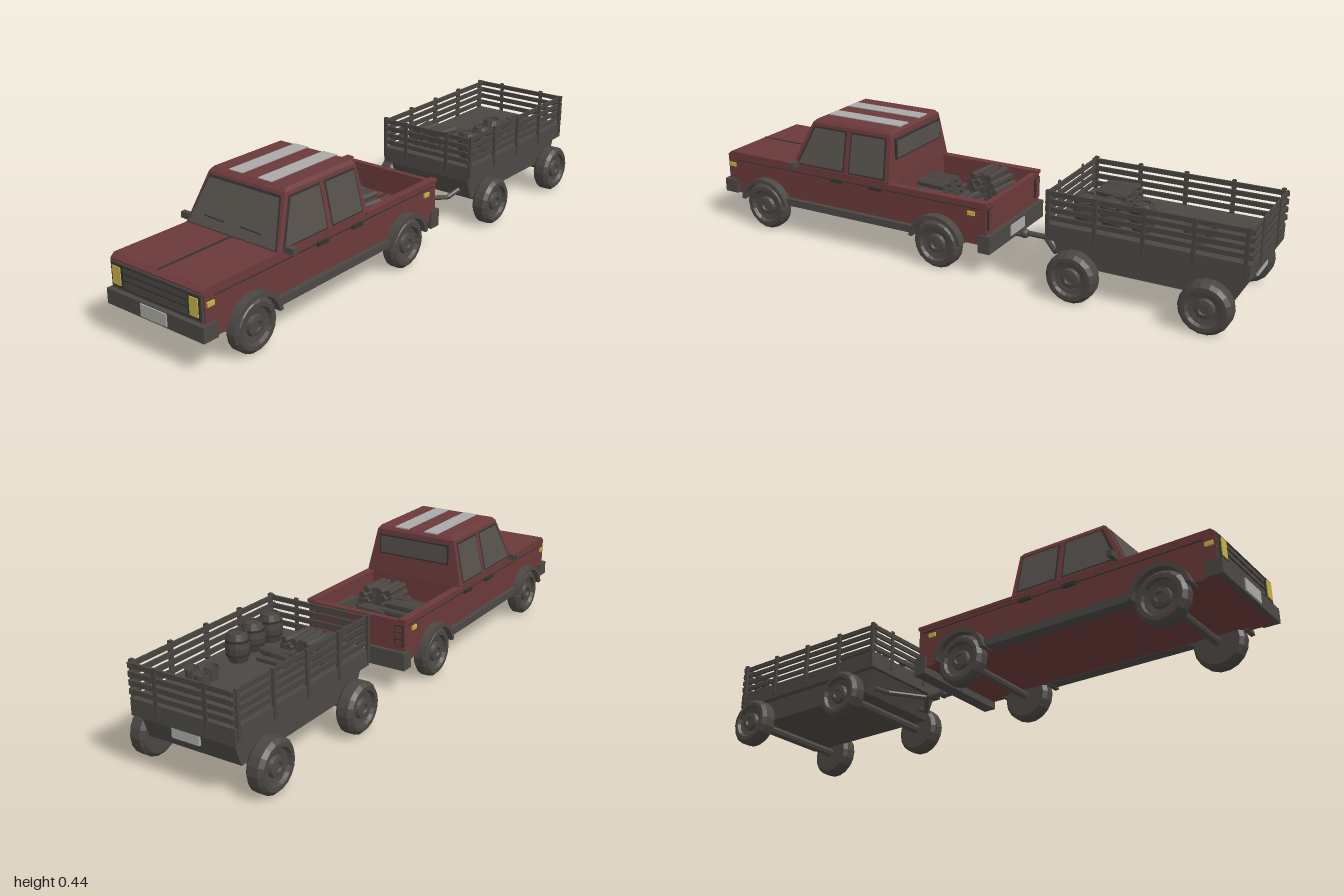
import * as THREE from 'three';

const mat = (name, color, extra = {}) => {
  const m = new THREE.MeshStandardMaterial({ color, flatShading: true, ...extra });
  m.name = name;
  return m;
};

export function createModel() {
  const red = mat('red paint', 0x6b393a);
  const dark = mat('dark trim', 0x4b4844);
  const black = mat('dark recess', 0x34322f);
  const rubber = mat('tyre', 0x4a4642);
  const glass = mat('glass', 0x55504b, { side: THREE.DoubleSide });
  const yellow = mat('lamp yellow', 0xc8b048);
  const pale = mat('pale grey', 0xa9a9a7);
  const wood = mat('weathered wood', 0x474440);

  const root = new THREE.Group();
  root.name = 'pickupAndTrailer';
  const truck = new THREE.Group();
  truck.name = 'pickup';
  const trailer = new THREE.Group();
  trailer.name = 'trailer';
  root.add(truck, trailer);

  const add = (parent, name, geo, m) => {
    const mesh = new THREE.Mesh(geo, m);
    mesh.name = name;
    parent.add(mesh);
    return mesh;
  };
  // Box from its min and max on each axis
  const box = (parent, name, m, x0, x1, y0, y1, z0, z1) => {
    const b = add(parent, name, new THREE.BoxGeometry(x1 - x0, y1 - y0, z1 - z0), m);
    b.position.set((x0 + x1) / 2, (y0 + y1) / 2, (z0 + z1) / 2);
    return b;
  };
  const boxPair = (parent, name, m, x0, x1, ...r) => {
    box(parent, name, m, x0, x1, ...r);
    box(parent, name, m, -x1, -x0, ...r);
  };
  // Round bar between two points
  const rod = (parent, name, m, a, b, r, sides = 8) => {
    const p = new THREE.Vector3(...a), q = new THREE.Vector3(...b), d = q.clone().sub(p);
    const mesh = add(parent, name, new THREE.CylinderGeometry(r, r, d.length(), sides), m);
    mesh.position.copy(p.add(q).multiplyScalar(0.5));
    mesh.quaternion.setFromUnitVectors(new THREE.Vector3(0, 1, 0), d.normalize());
    return mesh;
  };
  // Flat convex panel through the given corners
  const panel = (parent, name, m, pts) => {
    const g = new THREE.BufferGeometry();
    g.setAttribute('position', new THREE.Float32BufferAttribute(pts.flat(), 3));
    const idx = [];
    for (let i = 1; i < pts.length - 1; i++) idx.push(0, i, i + 1);
    g.setIndex(idx);
    g.computeVertexNormals();
    return add(parent, name, g, m);
  };
  // Extrude a (z, y) outline across x
  const sideExtrude = (parent, name, m, shape, x0, x1) => {
    const g = new THREE.ExtrudeGeometry(shape, { depth: x1 - x0, bevelEnabled: false, curveSegments: 14 });
    g.rotateY(-Math.PI / 2);
    g.translate(x1, 0, 0);
    return add(parent, name, g, m);
  };
  const outline = (pts) => new THREE.Shape(pts.map(([z, y]) => new THREE.Vector2(z, y)));

  // Wheel with a dished rim, outer face towards +x
  const wheel = (parent, side, x0, x1, y, z, r) => {
    const g = new THREE.Group();
    g.name = 'wheel';
    const w = (x1 - x0) / 2, c = 0.012;
    const turn = (name, m, pts) => {
      const geo = new THREE.LatheGeometry(pts.map(p => new THREE.Vector2(...p)), 18);
      geo.rotateZ(-Math.PI / 2);
      add(g, name, geo, m);
    };
    turn('tyre', rubber, [[0, -w], [r - c, -w], [r, -w + c], [r, w - c], [r - c, w], [r * 0.7, w], [r * 0.64, w - 0.012]]);
    turn('rim', dark, [[r * 0.64, w - 0.012], [r * 0.4, w - 0.016], [r * 0.36, w - 0.004], [r * 0.2, w - 0.002], [r * 0.17, w - 0.01], [0, w - 0.01]]);
    g.position.set(side * (x0 + x1) / 2, y, z);
    if (side < 0) g.rotation.y = Math.PI;
    parent.add(g);
  };

  // Lower body and hood
  sideExtrude(truck, 'frontBody', red,
    outline([[0.27, 0.11], [0.975, 0.11], [0.98, 0.255], [0.965, 0.268], [0.27, 0.265]]), -0.193, 0.193);
  box(truck, 'hoodSeam', black, -0.004, 0.004, 0.262, 0.2695, 0.68, 0.966);
  box(truck, 'bedFloor', red, -0.193, 0.193, 0.11, 0.165, -0.115, 0.27);
  boxPair(truck, 'bedSide', red, 0.175, 0.193, 0.165, 0.258, -0.115, 0.27);
  box(truck, 'tailgate', red, -0.175, 0.175, 0.165, 0.255, -0.115, -0.095);
  boxPair(truck, 'bedRail', red, 0.17, 0.198, 0.25, 0.262, -0.118, 0.27);
  boxPair(truck, 'wheelWell', dark, 0.15, 0.176, 0.165, 0.205, 0.0, 0.13);
  for (const x of [-0.1, 0, 0.1]) box(truck, 'bedRib', black, x - 0.002, x + 0.002, 0.16, 0.168, -0.09, 0.26);

  // Cab: tapering cross-sections from belt line to roof
  const rings = [[0.193, 0.262, 0.682, 0.265], [0.157, 0.424, 0.605, 0.278], [0.148, 0.436, 0.592, 0.288]]
    .map(([x, y, zf, zr]) => [[x, y, zf], [x, y, zr], [-x, y, zr], [-x, y, zf]]);
  for (let k = 0; k < 2; k++) for (let i = 0; i < 4; i++) {
    const j = (i + 1) % 4;
    panel(truck, 'cabPanel', red, [rings[k][i], rings[k][j], rings[k + 1][j], rings[k + 1][i]]);
  }
  panel(truck, 'roof', red, rings[2]);
  for (const s of [-1, 1]) box(truck, 'roofStripe', pale, s * 0.06 - 0.028, s * 0.06 + 0.028, 0.434, 0.4385, 0.285, 0.588);

  // Windows lie just outside the sloping cab faces
  const zFront = y => 0.685 - (y - 0.262) * 0.475;
  const xSide = y => 0.1955 - (y - 0.262) * 0.222;
  const shield = (name, m, xb, xt, yb, yt, o) => panel(truck, name, m,
    [[-xb, yb, zFront(yb) + o], [xb, yb, zFront(yb) + o], [xt, yt, zFront(yt) + o], [-xt, yt, zFront(yt) + o]]);
  shield('windshieldSeal', black, 0.186, 0.148, 0.27, 0.416, 0);
  shield('windshield', glass, 0.182, 0.144, 0.273, 0.409, 0.002);
  box(truck, 'rearWindowSeal', black, -0.142, 0.142, 0.335, 0.408, 0.265, 0.273);
  box(truck, 'rearWindow', glass, -0.136, 0.136, 0.341, 0.402, 0.263, 0.271);
  for (const s of [-1, 1]) {
    const sideWindow = (name, m, pts, o) => panel(truck, name, m,
      (s > 0 ? pts : [...pts].reverse()).map(([z, y]) => [s * (xSide(y) + o), y, z]));
    sideWindow('frontWindowSeal', black, [[0.662, 0.27], [0.455, 0.27], [0.455, 0.414], [0.596, 0.414]], 0);
    sideWindow('frontWindow', glass, [[0.65, 0.276], [0.461, 0.276], [0.461, 0.408], [0.59, 0.408]], 0.002);
    sideWindow('rearDoorWindowSeal', black, [[0.437, 0.27], [0.284, 0.27], [0.29, 0.414], [0.437, 0.414]], 0);
    sideWindow('rearDoorWindow', glass, [[0.431, 0.276], [0.29, 0.276], [0.296, 0.408], [0.431, 0.408]], 0.002);
    // Wipers
    const wp = (x, y) => [x, y, zFront(y) + 0.005];
    const cx = s * 0.075 - 0.005;
    rod(truck, 'wiperBlade', black, wp(cx - 0.04, 0.305), wp(cx + 0.045, 0.303), 0.0022, 5);
    rod(truck, 'wiperArm', black, wp(cx + 0.015, 0.303), wp(cx + 0.035, 0.274), 0.0022, 5);
  }

  // Front end
  box(truck, 'grille', dark, -0.188, 0.188, 0.163, 0.25, 0.97, 0.984);
  boxPair(truck, 'headlightFrame', black, 0.135, 0.184, 0.172, 0.246, 0.98, 0.987);
  boxPair(truck, 'headlight', yellow, 0.143, 0.177, 0.18, 0.239, 0.982, 0.99);
  for (const y of [0.172, 0.2, 0.222, 0.244]) box(truck, 'grilleBar', black, -0.134, 0.134, y - 0.002, y + 0.002, 0.98, 0.987);
  box(truck, 'frontBumper', dark, -0.202, 0.202, 0.11, 0.16, 0.94, 0.996);
  box(truck, 'frontPlate', pale, -0.053, 0.055, 0.116, 0.157, 0.992, 1.0);

  // Rear end
  box(truck, 'rearBumper', dark, -0.2, 0.2, 0.085, 0.148, -0.13, -0.085);
  box(truck, 'rearPlate', pale, -0.05, 0.05, 0.1, 0.138, -0.134, -0.126);
  boxPair(truck, 'tailLightFrame', black, 0.155, 0.188, 0.165, 0.24, -0.12, -0.113);
  for (const y of [0.178, 0.202, 0.226]) boxPair(truck, 'tailLight', red, 0.16, 0.183, y - 0.009, y + 0.009, -0.123, -0.116);

  // Side trim
  boxPair(truck, 'frontMarker', yellow, 0.19, 0.199, 0.212, 0.226, 0.945, 0.972);
  boxPair(truck, 'rearMarker', yellow, 0.19, 0.199, 0.212, 0.226, -0.072, -0.045);
  boxPair(truck, 'sillStep', dark, 0.165, 0.21, 0.108, 0.134, 0.165, 0.705);
  boxPair(truck, 'bodyCrease', black, 0.19, 0.1955, 0.236, 0.239, -0.1, 0.94);
  for (const z of [0.32, 0.485]) boxPair(truck, 'doorHandle', black, 0.19, 0.202, 0.23, 0.242, z - 0.025, z + 0.025);
  boxPair(truck, 'mirrorArm', dark, 0.185, 0.208, 0.264, 0.271, 0.65, 0.658);
  boxPair(truck, 'mirror', dark, 0.2, 0.235, 0.264, 0.285, 0.645, 0.662);

  // Truck wheels, arches and axles
  for (const z of [0.8, 0.07]) {
    rod(truck, 'axle', dark, [-0.18, 0.088, z], [0.18, 0.088, z], 0.014);
    for (const s of [-1, 1]) {
      wheel(truck, s, 0.164, 0.218, 0.088, z, 0.087);
      const arch = new THREE.Shape();
      arch.absarc(z, 0.09, 0.103, 0.15, Math.PI - 0.15, false);
      arch.absarc(z, 0.09, 0.089, Math.PI - 0.15, 0.15, true);
      sideExtrude(truck, 'wheelArch', dark, arch, s > 0 ? 0.17 : -0.225, s > 0 ? 0.225 : -0.17);
    }
  }

  // Hitch
  rod(truck, 'towBar', dark, [0, 0.09, -0.08], [0, 0.09, -0.165], 0.009);
  add(truck, 'towBall', new THREE.SphereGeometry(0.017, 10, 8), dark).position.set(0, 0.097, -0.16);
  rod(trailer, 'drawbar', dark, [0, 0.1, -0.15], [0, 0.1, -0.245], 0.01);
  for (const s of [-1, 1]) {
    rod(trailer, 'drawbarArm', dark, [0, 0.1, -0.238], [s * 0.105, 0.105, -0.325], 0.009);
    rod(trailer, 'drawbarBrace', dark, [s * 0.105, 0.105, -0.325], [s * 0.13, 0.135, -0.39], 0.009);
  }

  // Trailer bed and chassis
  box(trailer, 'trailerBed', dark, -0.19, 0.19, 0.18, 0.235, -0.995, -0.33);
  sideExtrude(trailer, 'trailerChassis', dark,
    outline([[-0.95, 0.1], [-0.38, 0.1], [-0.345, 0.182], [-0.98, 0.182]]), -0.17, 0.17);
  box(trailer, 'trailerPlate', pale, -0.05, 0.05, 0.142, 0.178, -0.985, -0.977);
  for (const z of [-0.44, -0.88]) {
    rod(trailer, 'trailerAxle', dark, [-0.2, 0.085, z], [0.2, 0.085, z], 0.016);
    for (const s of [-1, 1]) wheel(trailer, s, 0.186, 0.246, 0.085, z, 0.085);
  }

  // Slatted fence
  for (let i = 0; i < 5; i++) boxPair(trailer, 'fencePost', wood, 0.183, 0.194, 0.195, 0.35, -0.343 - i * 0.161, -0.33 - i * 0.161);
  for (const y of [0.256, 0.283, 0.31, 0.337]) {
    boxPair(trailer, 'sideSlat', wood, 0.178, 0.186, y - 0.008, y + 0.008, -1.0, -0.325);
    for (const z of [-0.335, -0.993]) box(trailer, 'endSlat', wood, -0.19, 0.19, y - 0.008, y + 0.008, z - 0.004, z + 0.004);
  }
  for (const z of [-0.328, -0.998]) for (const x of [-0.09, 0.09])
    box(trailer, 'endPost', wood, x - 0.007, x + 0.007, 0.2, 0.35, z - 0.002, z + 0.002);

  // Barrels and buckets
  for (const [x, z] of [[0.1, -0.62], [0.115, -0.525], [0.115, -0.435]]) {
    const pts = [[0, 0], [0.029, 0], [0.037, 0.025], [0.04, 0.047], [0.037, 0.07], [0.029, 0.094], [0.025, 0.094], [0.025, 0.088], [0, 0.088]];
    add(trailer, 'barrel', new THREE.LatheGeometry(pts.map(p => new THREE.Vector2(...p)), 12), wood).position.set(x, 0.235, z);
    for (const h of [0.025, 0.07]) add(trailer, 'barrelHoop', new THREE.CylinderGeometry(0.039, 0.039, 0.007, 12), black).position.set(x, 0.235 + h, z);
  }
  for (const [x, z] of [[0.063, -0.83], [0.117, -0.81], [0.077, -0.77]]) {
    const pts = [[0, 0], [0.019, 0], [0.024, 0.042], [0.021, 0.042], [0.018, 0.006], [0, 0.006]];
    add(trailer, 'bucket', new THREE.LatheGeometry(pts.map(p => new THREE.Vector2(...p)), 10), dark).position.set(x, 0.235, z);
  }

  // Stacked logs: rows narrow towards the top, each slightly askew
  const logs = (parent, cx, cz, floor, count, layers, len, r, alongX) => {
    for (let k = 0; k < layers; k++) for (let i = 0; i < count - k; i++) {
      const t = (i - (count - k - 1) / 2) * r * 2.1, skew = Math.sin(i * 2.3 + k) * 0.008;
      const y = floor + r + k * r * 1.75;
      if (alongX) rod(parent, 'log', wood, [cx - len / 2, y, cz + t - skew], [cx + len / 2, y, cz + t + skew], r, 7);
      else rod(parent, 'log', wood, [cx + t - skew, y, cz - len / 2], [cx + t + skew, y, cz + len / 2], r, 7);
    }
  };
  logs(trailer, -0.065, -0.47, 0.235, 7, 3, 0.11, 0.0125, false);
  logs(trailer, -0.012, -0.57, 0.235, 3, 2, 0.11, 0.0115, true);
  logs(truck, 0.05, 0.155, 0.165, 7, 4, 0.11, 0.0135, false);
  logs(truck, 0.04, 0.06, 0.165, 3, 2, 0.11, 0.012, true);
  logs(truck, -0.112, 0.04, 0.165, 6, 4, 0.125, 0.0135, true);

  return root;
}
